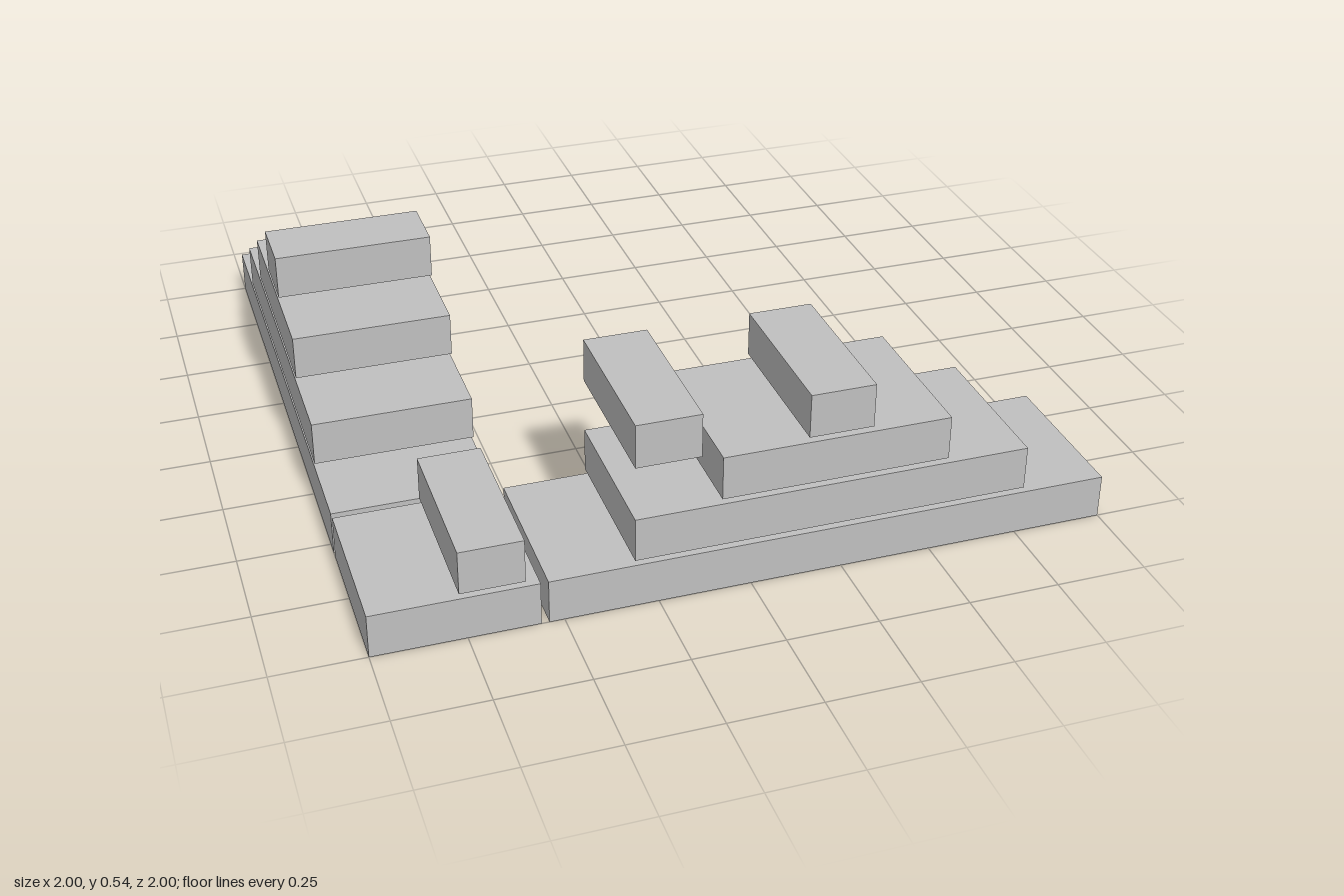
import * as THREE from 'three';

export function createModel() {
  const group = new THREE.Group();
  group.name = 'steppedWalls';
  const stone = new THREE.MeshStandardMaterial({ color: 0xc0c0c0 });
  stone.name = 'light grey stone';

  const height = 0.123, step = 0.138;

  // One slab on a given level, spanning x0..x1 and z0..z1
  function slab(name, level, x0, x1, z0, z1) {
    const mesh = new THREE.Mesh(new THREE.BoxGeometry(x1 - x0, height, z1 - z0), stone);
    mesh.name = name;
    mesh.position.set((x0 + x1) / 2, level * step + height / 2, (z0 + z1) / 2);
    group.add(mesh);
  }

  // Corner base and the small block on it
  slab('cornerBase', 0, -1, -0.56, 0.56, 1);
  slab('cornerBlock', 1, -0.768, -0.598, 0.56, 1);

  // Tiers of both arms, as spans measured along the arm away from the corner
  const tiers = [[-0.54, 1], [-0.314, 0.766], [-0.084, 0.537], [0.145, 0.32]];
  tiers.forEach(([a, b], level) => {
    slab('frontArmTier' + level, level, a, b, 0.56, 1);
    // The top block of the back arm sits slightly nearer the corner
    const [c, d] = level === 3 ? [0.136, 0.312] : [a, b];
    slab('backArmTier' + level, level, -1, -0.56, -d, -c);
  });

  // Raised block standing clear of the front arm
  slab('raisedBlock', 3, -0.314, -0.14, 0.56, 1);

  return group;
}
